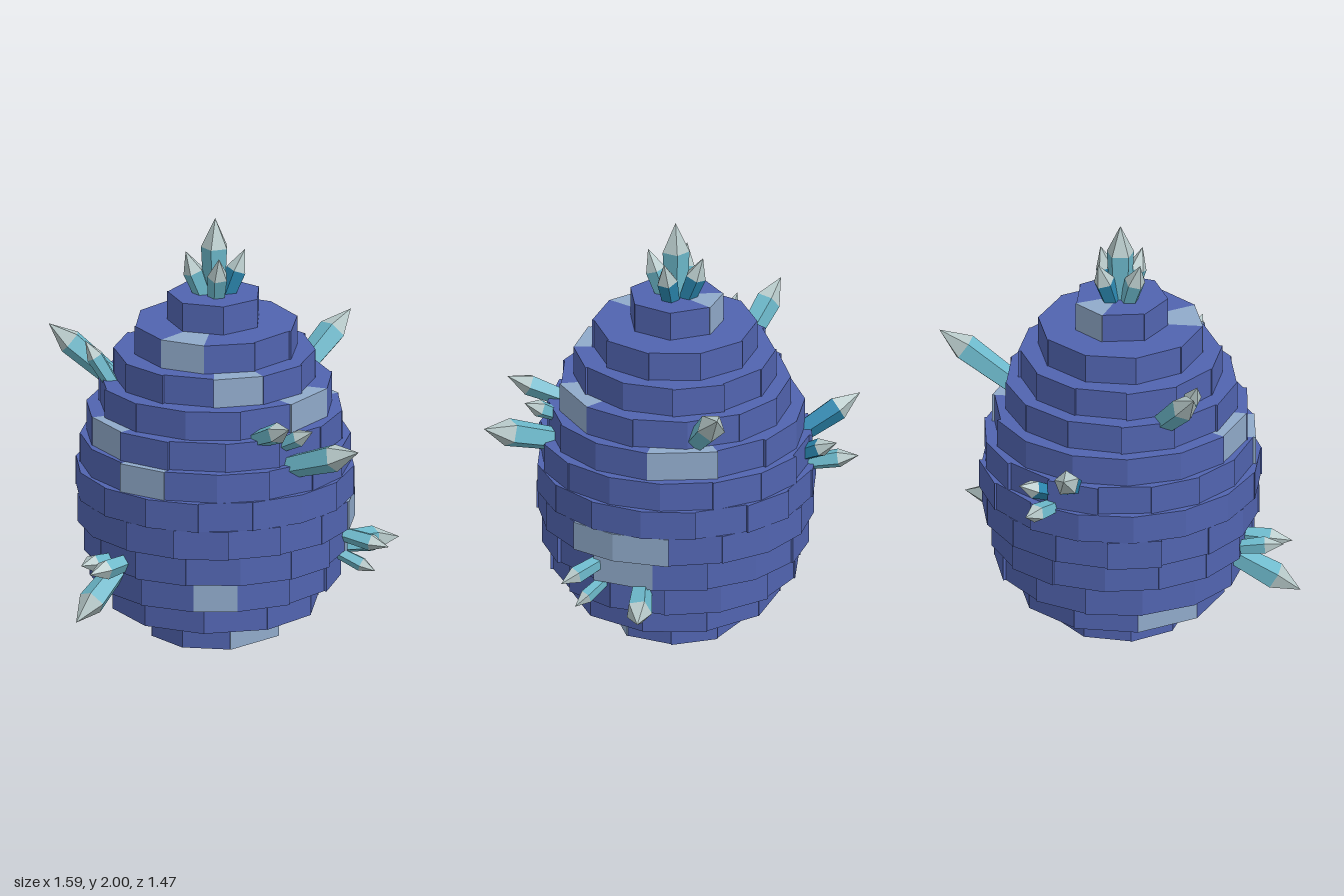
import * as THREE from 'three';
import { mergeGeometries } from 'three/addons/utils/BufferGeometryUtils.js';

const flat = (name, color) => {
  const m = new THREE.MeshStandardMaterial({ color, flatShading: true });
  m.name = name;
  return m;
};
const stone = flat('blue stone', 0x5164b0);
const paleStone = flat('pale stone', 0x90aaca);
const teal = flat('teal crystal', 0x6cb8ca);
const deepTeal = flat('deep blue crystal', 0x2b88b0);
const tipMat = flat('pale crystal tip', 0xb6c8c8);

const CX = -0.03;          // axis of the egg
const H = 1.64 / 12;       // height of one course

// Each course: radius, number of bricks, pale bricks as [start, end] degrees (0 = front, 90 = left)
const COURSES = [
  [0.305, 8, [[30, 90]]],
  [0.48, 10, [[-98, -61]]],
  [0.575, 14, [[7, 27]]],
  [0.61, 15, [[99, 127]]],
  [0.64, 16, [[90, 110], [110, 134]]],
  [0.645, 16, []],
  [0.628, 16, [[-27, -5]]],
  [0.59, 14, [[-55, -30], [124, 156]]],
  [0.54, 13, [[57, 88]]],
  [0.465, 12, [[16, 45]]],
  [0.38, 10, [[-24, 9]]],
  [0.22, 7, [[183, 230]]],
];

let seed = 7;
const rand = () => (seed = (seed * 16807) % 2147483647) / 2147483647;

// Wedge-shaped brick reaching from the axis to the outer wall
function brick(r, a0, a1) {
  const shape = new THREE.Shape([[0, 0], ...[a0, a1].map((a) => {
    const t = THREE.MathUtils.degToRad(a);
    return [r * Math.sin(t), -r * Math.cos(t)];
  })].map(([x, y]) => new THREE.Vector2(x, y)));
  return new THREE.ExtrudeGeometry(shape, { depth: H, bevelEnabled: false }).rotateX(-Math.PI / 2);
}

function course([radius, count, pale], i) {
  const group = new THREE.Group();
  group.name = 'course' + (i + 1);
  group.position.set(CX, i * H, 0);
  const plainBricks = [], paleBricks = [];
  const fill = (from, to) => {
    const n = Math.max(1, Math.round((to - from) / (360 / count)));
    const step = (to - from) / n;
    for (let k = 0; k < n; k++) {
      plainBricks.push(brick(radius * (0.985 + 0.035 * rand()), from + k * step, from + (k + 1) * step));
    }
  };
  // Pale bricks first, then plain bricks in the arcs between them
  pale.forEach(([a0, a1], k) => {
    paleBricks.push(brick(radius * 1.01, a0, a1));
    const next = k + 1 < pale.length ? pale[k + 1][0] : pale[0][0] + 360;
    if (next - a1 > 1) fill(a1, next);
  });
  if (!pale.length) fill(10, 370);
  for (const [name, list, mat] of [['plainBricks', plainBricks, stone], ['paleBricks', paleBricks, paleStone]]) {
    if (!list.length) continue;
    const mesh = new THREE.Mesh(mergeGeometries(list), mat);
    mesh.name = name;
    group.add(mesh);
  }
  return group;
}

// Five-sided shaft, a little wider at the shoulder, with a pointed tip
function crystal(name, base, tip, r, mat) {
  const a = new THREE.Vector3(...base), b = new THREE.Vector3(...tip);
  const length = a.distanceTo(b), tipLength = Math.min(2.1 * r, length * 0.5);
  const shaftLength = length - tipLength;
  const group = new THREE.Group();
  group.name = name;
  const shaft = new THREE.Mesh(
    new THREE.CylinderGeometry(r, r * 0.8, shaftLength, 5).translate(0, shaftLength / 2, 0), mat);
  shaft.name = 'shaft';
  const point = new THREE.Mesh(
    new THREE.ConeGeometry(r, tipLength, 5).translate(0, shaftLength + tipLength / 2, 0), tipMat);
  point.name = 'tip';
  group.add(shaft, point);
  group.position.copy(a);
  group.quaternion.setFromUnitVectors(new THREE.Vector3(0, 1, 0), b.sub(a).normalize());
  return group;
}

// Crystals on the wall: base, tip, radius, material
const CRYSTALS = {
  rightUpperCrystals: [
    [[-0.44, 1.15, 0.05], [-0.8, 1.45, 0.11], 0.062, teal],
    [[-0.45, 1.17, 0.17], [-0.6, 1.41, 0.19], 0.042, teal],
  ],
  rightBackCrystals: [
    [[-0.44, 0.91, -0.36], [-0.73, 1.09, -0.5], 0.06, deepTeal],
    [[-0.42, 0.81, -0.44], [-0.59, 0.86, -0.64], 0.045, teal],
    [[-0.38, 0.85, -0.42], [-0.46, 0.96, -0.63], 0.045, deepTeal],
  ],
  backCrystal: [
    [[0.21, 1.1, -0.4], [0.4, 1.37, -0.74], 0.068, teal],
  ],
  leftFrontCrystals: [
    [[0.4, 0.93, 0.32], [0.79, 1.07, 0.42], 0.068, teal],
    [[0.29, 1.08, 0.4], [0.5, 1.2, 0.57], 0.052, teal],
    [[0.4, 1.05, 0.35], [0.56, 1.14, 0.39], 0.042, teal],
  ],
  leftLowerCrystals: [
    [[0.45, 0.38, -0.28], [0.7, 0.36, -0.52], 0.062, teal],
    [[0.52, 0.5, -0.1], [0.78, 0.45, -0.09], 0.042, teal],
    [[0.5, 0.41, -0.11], [0.71, 0.32, -0.11], 0.035, teal],
  ],
  frontLowerCrystals: [
    [[-0.37, 0.4, 0.44], [-0.48, 0.22, 0.73], 0.066, teal],
    [[-0.29, 0.46, 0.46], [-0.42, 0.45, 0.71], 0.048, teal],
    [[-0.41, 0.45, 0.46], [-0.48, 0.47, 0.65], 0.042, teal],
  ],
};

export function createModel() {
  const model = new THREE.Group();
  model.name = 'crystalEgg';

  const body = new THREE.Group();
  body.name = 'brickBody';
  COURSES.forEach((c, i) => body.add(course(c, i)));
  model.add(body);

  for (const [name, list] of Object.entries(CRYSTALS)) {
    const cluster = new THREE.Group();
    cluster.name = name;
    list.forEach((c, i) => cluster.add(crystal('crystal' + (i + 1), ...c)));
    model.add(cluster);
  }

  // Crown: one upright crystal with four leaning out around it
  const crown = new THREE.Group();
  crown.name = 'crownCrystals';
  crown.add(crystal('centreCrystal', [CX, 1.6, 0], [CX, 2, 0], 0.066, teal));
  for (let i = 0; i < 4; i++) {
    const t = THREE.MathUtils.degToRad(24 + 90 * i), s = Math.sin(t), c = Math.cos(t);
    crown.add(crystal('leaningCrystal' + (i + 1), [CX + 0.045 * s, 1.6, 0.045 * c],
      [CX + 0.138 * s, 1.845, 0.138 * c], 0.05, i === 1 || i === 2 ? deepTeal : teal));
  }
  model.add(crown);
  return model;
}
